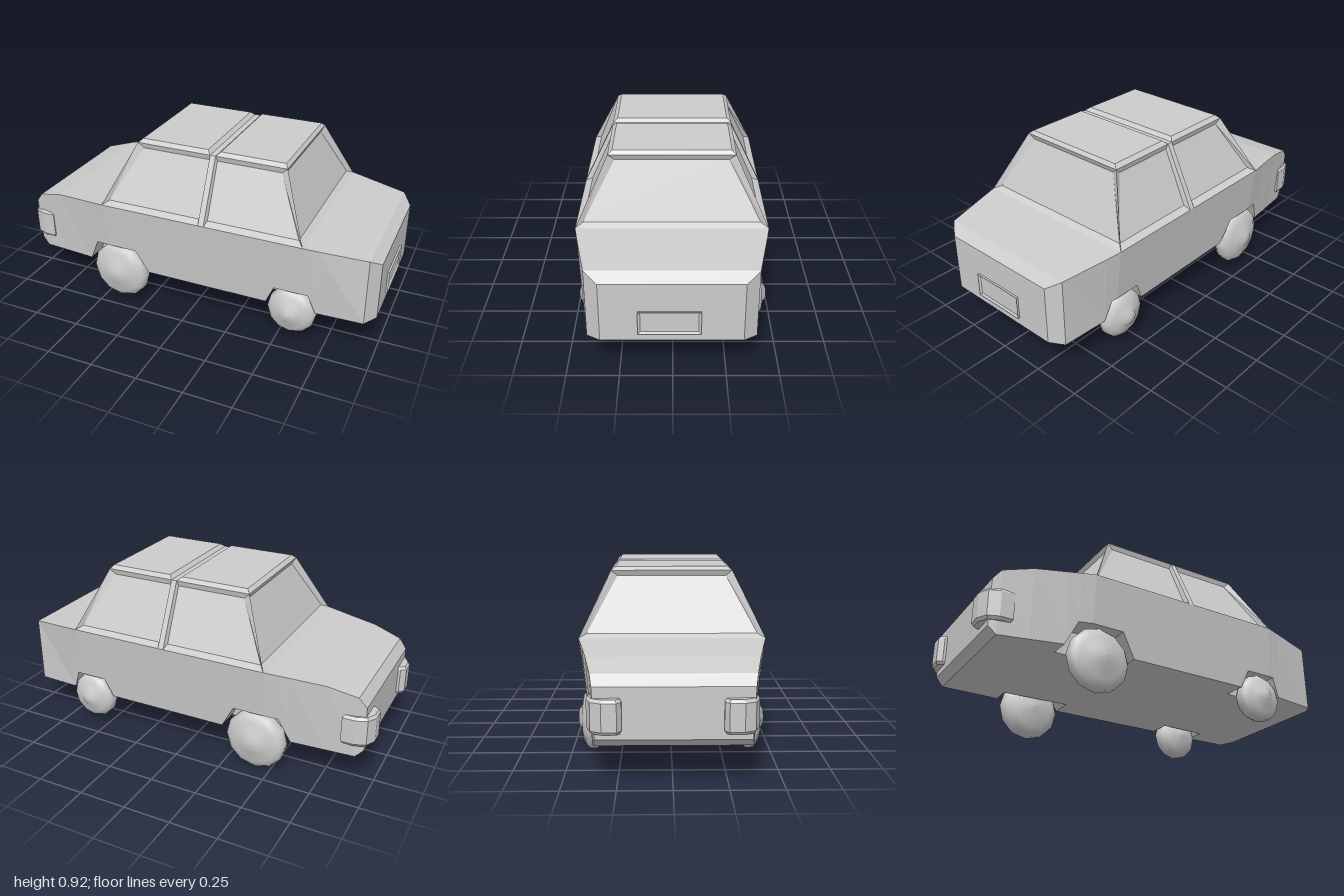
import * as THREE from 'three';

const grey = new THREE.MeshStandardMaterial({ color: 0xcccccc, flatShading: true });
const smoothGrey = new THREE.MeshStandardMaterial({ color: 0xcccccc });

// Flat-sided mesh from a list of quads, corners counter-clockwise seen from outside
function quadMesh(name, quads) {
  const pos = [];
  for (const [a, b, c, d] of quads) pos.push(...a, ...b, ...c, ...a, ...c, ...d);
  const geo = new THREE.BufferGeometry();
  geo.setAttribute('position', new THREE.Float32BufferAttribute(pos, 3));
  geo.computeVertexNormals();
  const mesh = new THREE.Mesh(geo, grey);
  mesh.name = name;
  return mesh;
}

// Four faces running from an outer ring to an inner ring
function band(outer, inner) {
  return outer.map((p, i) => {
    const j = (i + 1) % 4;
    return [p, outer[j], inner[j], inner[i]];
  });
}

// The same, closed by a panel over the inner ring
const bevelPanel = (outer, inner) => [inner, ...band(outer, inner)];

const mirrorZ = quads => quads.map(q => q.map(([x, y, z]) => [x, y, -z]).reverse());

// Lower body: cross-sections along x, with wheel wells cut into the lower corners
function makeBody() {
  // x, top, floor, half width at top, half width at floor, arch height (0 = none)
  const stations = [
    [-0.96, 0.46, 0.22, 0.36, 0.35, 0],
    [-0.92, 0.51, 0.18, 0.37, 0.36, 0],
    [-0.77, 0.55, 0.187, 0.401, 0.38, 0],
    [-0.60, 0.567, 0.195, 0.435, 0.403, 0],
    [-0.54, 0.573, 0.195, 0.448, 0.411, 0.32],
    [-0.47, 0.58, 0.197, 0.462, 0.42, 0.325],
    [-0.30, 0.58, 0.2, 0.462, 0.42, 0.325],
    [-0.23, 0.58, 0.2, 0.462, 0.42, 0],
    [0.44, 0.58, 0.2, 0.462, 0.42, 0],
    [0.485, 0.58, 0.2, 0.462, 0.42, 0.30],
    [0.63, 0.58, 0.198, 0.462, 0.42, 0.30],
    [0.66, 0.577, 0.197, 0.456, 0.418, 0.30],
    [0.70, 0.572, 0.197, 0.448, 0.415, 0],
    [0.94, 0.545, 0.19, 0.395, 0.395, 0],
    [0.99, 0.505, 0.2, 0.33, 0.33, 0],
  ];
  const well = 0.3;
  const rings = stations.map(([x, top, floor, w, wb, arch]) => {
    const a = arch || floor;
    const wa = wb + (w - wb) * (a - floor) / (top - floor);
    const half = [[x, top, w], [x, a, wa], [x, a, well], [x, floor, well]];
    return [...half, ...half.map(([px, y, z]) => [px, y, -z]).reverse()];
  });
  const quads = [];
  for (let s = 0; s < rings.length - 1; s++) {
    const a = rings[s], b = rings[s + 1];
    for (let j = 0; j < 8; j++) {
      const k = (j + 1) % 8;
      quads.push([a[j], a[k], b[k], b[j]]);
    }
  }
  const cap = r => [r[0], r[1], r[6], r[7]];
  quads.push(cap(rings[0]).reverse(), cap(rings[rings.length - 1]));
  return quadMesh('body', quads);
}

// Cabin: recessed windows, centre pillars and a roof in two halves
function makeCabin() {
  const cabin = new THREE.Group();
  cabin.name = 'cabin';
  const lo = 0.58, hi = 0.9, zLo = 0.462, zHi = 0.307;
  const iLo = 0.598, iHi = 0.872;

  // side windows: x of bottom-left, bottom-right, top-right, top-left
  const ring = (xs, y0, y1, z0, z1) =>
    [[xs[0], y0, z0], [xs[1], y0, z0], [xs[2], y1, z1], [xs[3], y1, z1]];
  const outer = xs => ring(xs, lo, hi, zLo, zHi);
  const inner = xs => ring(xs, iLo, iHi, 0.425, 0.3);
  const side = [
    ...bevelPanel(outer([-0.47, 0.085, 0.085, -0.32]), inner([-0.44, 0.078, 0.078, -0.29])),
    ...bevelPanel(outer([0.115, 0.63, 0.49, 0.115]), inner([0.122, 0.60, 0.46, 0.122])),
  ];
  const pillar = [outer([0.085, 0.115, 0.115, 0.085])];
  cabin.add(quadMesh('leftWindows', side), quadMesh('rightWindows', mirrorZ(side)));
  cabin.add(quadMesh('leftPillar', pillar), quadMesh('rightPillar', mirrorZ(pillar)));

  // front and rear screens; dir is the end they face
  const screen = (xLo, xHi, y0, y1, z0, z1, dir) =>
    [[xLo, y0, dir * z0], [xLo, y0, -dir * z0], [xHi, y1, -dir * z1], [xHi, y1, dir * z1]];
  cabin.add(quadMesh('rearScreen', bevelPanel(
    screen(0.63, 0.49, lo, hi, zLo, zHi, 1), screen(0.6, 0.478, iLo, iHi, 0.425, 0.275, 1))));
  cabin.add(quadMesh('windscreen', bevelPanel(
    screen(-0.47, -0.32, lo, hi, zLo, zHi, -1), screen(-0.44, -0.308, iLo, iHi, 0.425, 0.275, -1))));

  // roof halves and the groove between them
  const flat = (x0, x1, y, z) => [[x0, y, z], [x1, y, z], [x1, y, -z], [x0, y, -z]];
  cabin.add(quadMesh('frontRoof', bevelPanel(flat(-0.32, 0.085, hi, zHi), flat(-0.3, 0.065, 0.918, 0.285))));
  cabin.add(quadMesh('rearRoof', bevelPanel(flat(0.115, 0.49, hi, zHi), flat(0.135, 0.475, 0.918, 0.285))));
  cabin.add(quadMesh('roofGroove', [flat(0.085, 0.115, hi, zHi)]));
  return cabin;
}

// Wheel: rounded tyre with a small hub bulge on both faces
function makeWheel(name, x, y, r, side) {
  const profile = [
    [0, -0.084], [0.24, -0.08], [0.36, -0.07], [0.7, -0.062], [0.9, -0.035],
    [1, -0.012], [1, 0.02], [0.9, 0.038], [0.7, 0.055], [0.38, 0.066], [0.25, 0.08], [0, 0.084],
  ].map(([k, h]) => new THREE.Vector2(k * r, h));
  const wheel = new THREE.Mesh(new THREE.LatheGeometry(profile, 12), smoothGrey);
  wheel.name = name;
  wheel.rotation.x = side * Math.PI / 2;
  wheel.position.set(x, y, side * 0.387);
  return wheel;
}

// Headlight block wrapping round the front corner
function makeHeadlight(name, side) {
  const outline = [[-0.92, 0.235], [-0.97, 0.235], [-0.99, 0.25], [-0.99, 0.31],
    [-0.965, 0.355], [-0.915, 0.374], [-0.86, 0.374], [-0.86, 0.33]];
  const shape = new THREE.Shape(outline.map(([x, z]) => new THREE.Vector2(x, -z * side)));
  const geo = new THREE.ExtrudeGeometry(shape, {
    depth: 0.13, bevelEnabled: true, bevelSize: 0.01, bevelThickness: 0.015, bevelSegments: 1,
  });
  geo.rotateX(-Math.PI / 2);
  const light = new THREE.Mesh(geo, grey);
  light.name = name;
  light.position.y = 0.265;
  return light;
}

export function createModel() {
  const car = new THREE.Group();
  car.name = 'car';

  // shell sits a touch to the left of the wheels
  const shell = new THREE.Group();
  shell.name = 'shell';
  shell.position.z = 0.004;
  shell.add(makeBody(), makeCabin());
  car.add(shell);

  for (const [side, label] of [[1, 'Left'], [-1, 'Right']]) {
    car.add(makeWheel('frontWheel' + label, -0.415, 0.162, 0.162, side));
    car.add(makeWheel('rearWheel' + label, 0.573, 0.172, 0.128, side));
    car.add(makeHeadlight('headlight' + label, side));
  }

  // tail plate: raised rim round a sunken panel
  const plate = (x, d) => [[x, 0.24 + d, 0.16 - d], [x, 0.24 + d, -0.13 + d],
    [x, 0.362 - d, -0.13 + d], [x, 0.362 - d, 0.16 - d]];
  car.add(quadMesh('tailPlate', [
    ...band(plate(0.985, 0), plate(1, 0)),
    ...bevelPanel(plate(1, 0), plate(0.993, 0.012)),
  ]));
  return car;
}
